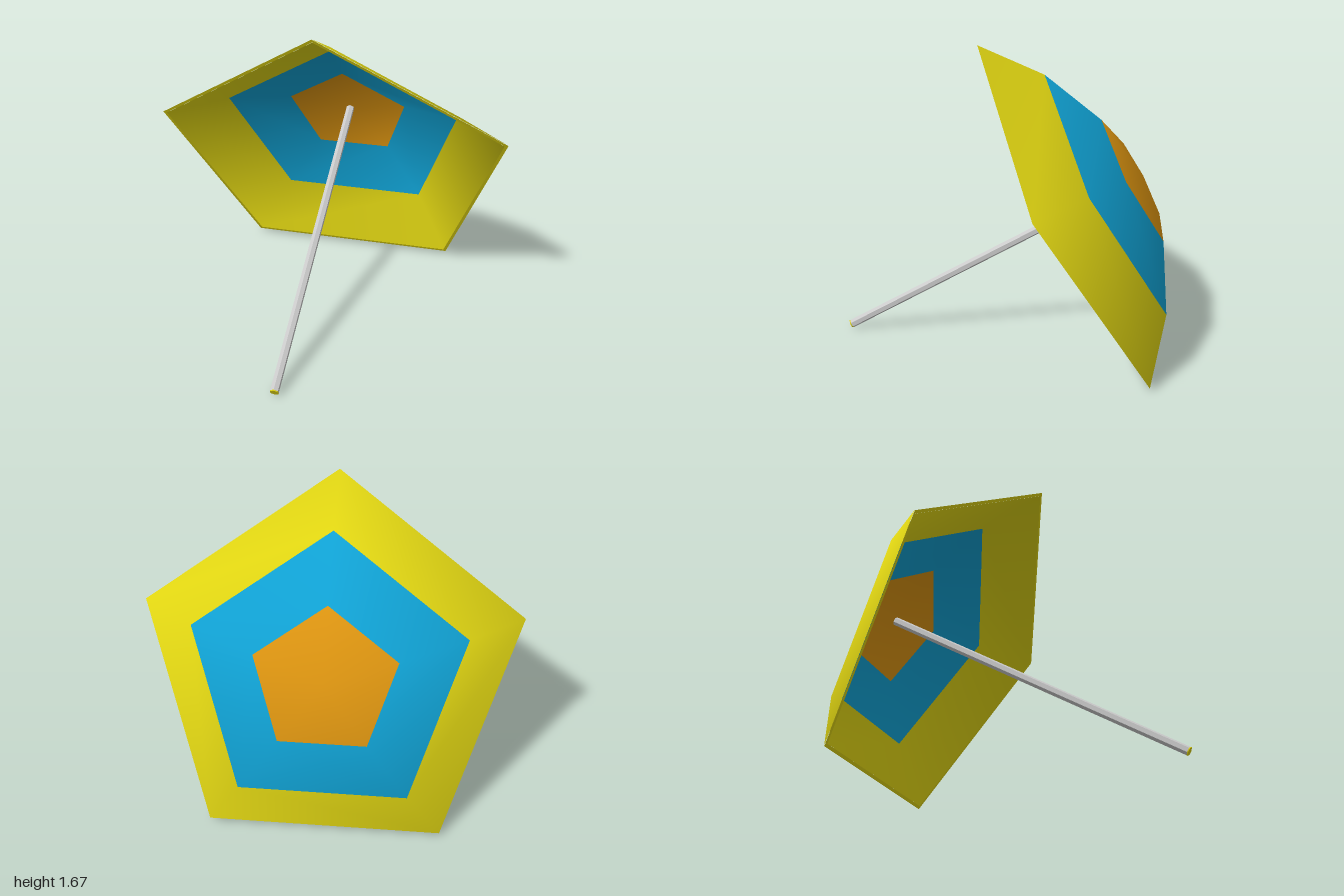
import * as THREE from 'three';

const mat = (name, color) => {
  const m = new THREE.MeshStandardMaterial({ color });
  m.name = name;
  return m;
};

// Pentagonal shell from [radius, height] rings, first ring is the single tip point.
// One geometry group per band, so colours change on ring edges.
function pentagonShell(rings, inward) {
  const SIDES = 5, pos = [0, rings[0][1], 0], index = [], groups = [];
  for (const [r, h] of rings.slice(1)) {
    for (let k = 0; k < SIDES; k++) {
      const a = (k / SIDES) * Math.PI * 2;
      pos.push(r * Math.sin(a), h, r * Math.cos(a));
    }
  }
  const tri = (a, b, c) => (inward ? index.push(a, c, b) : index.push(a, b, c));
  for (let band = 0; band < rings.length - 1; band++) {
    const start = index.length;
    for (let k = 0; k < SIDES; k++) {
      const n = (k + 1) % SIDES;
      const lo = 1 + band * SIDES, up = lo - SIDES;
      if (band === 0) tri(0, lo + k, lo + n);
      else {
        tri(up + k, lo + k, lo + n);
        tri(up + k, lo + n, up + n);
      }
    }
    groups.push([start, index.length - start, band]);
  }
  const g = new THREE.BufferGeometry();
  g.setAttribute('position', new THREE.Float32BufferAttribute(pos, 3));
  g.setIndex(index);
  groups.forEach((q) => g.addGroup(...q));
  g.computeVertexNormals();
  return g;
}

export function createModel() {
  const yellow = mat('yellow cloth', 0xe0d512);
  const blue = mat('blue cloth', 0x10a2d4);
  const orange = mat('orange cloth', 0xdc9410);
  const metal = mat('pole grey', 0xcacaca);

  const model = new THREE.Group();
  model.name = 'parasol';

  // Tilted frame: local y runs along the pole, origin at the centre of the rim
  const parasol = new THREE.Group();
  parasol.name = 'tiltedParasol';
  const axis = new THREE.Vector3(-0.043, 0.5, -0.865).normalize();
  const side = axis.clone().cross(new THREE.Vector3(0.022, 0.868, 0.495)).normalize();
  const up = side.clone().cross(axis);
  parasol.quaternion.setFromRotationMatrix(new THREE.Matrix4().makeBasis(side, axis, up));
  parasol.position.set(-0.013, 0.748, -0.38);
  model.add(parasol);

  const add = (name, geometry, material, y = 0) => {
    const mesh = new THREE.Mesh(geometry, material);
    mesh.name = name;
    mesh.position.y = y;
    parasol.add(mesh);
    return mesh;
  };

  // Canopy: outer and inner cloth, orange centre, blue band, yellow border
  const cloth = [orange, blue, yellow];
  const outer = [[0, 0.43], [0.381, 0.38], [0.741, 0.234], [1.05, 0]];
  const inner = [[0, 0.415], [0.365, 0.367], [0.714, 0.224], [1.028, -0.003]];
  add('canopyOutside', pentagonShell(outer, false), cloth);
  add('canopyInside', pentagonShell(inner, true), cloth);

  // Narrow hem closing the rim between the two shells
  const hem = new THREE.RingGeometry(1.028, 1.05, 5, 1, Math.PI / 2);
  hem.rotateX(Math.PI / 2).rotateY(Math.PI);
  hem.rotateY(Math.PI);
  add('canopyHem', hem, yellow, -0.002);

  // Six-sided pole from the ground to the underside of the tip
  const bottom = -1.465, top = 0.412;
  const poleGeo = new THREE.CylinderGeometry(0.024, 0.024, top - bottom, 6).toNonIndexed();
  poleGeo.computeVertexNormals();
  add('pole', poleGeo, metal, (top + bottom) / 2);

  // Coloured cap on the foot of the pole
  add('poleFoot', new THREE.CylinderGeometry(0.0245, 0.0245, 0.006, 6), yellow, bottom - 0.002);

  return model;
}
